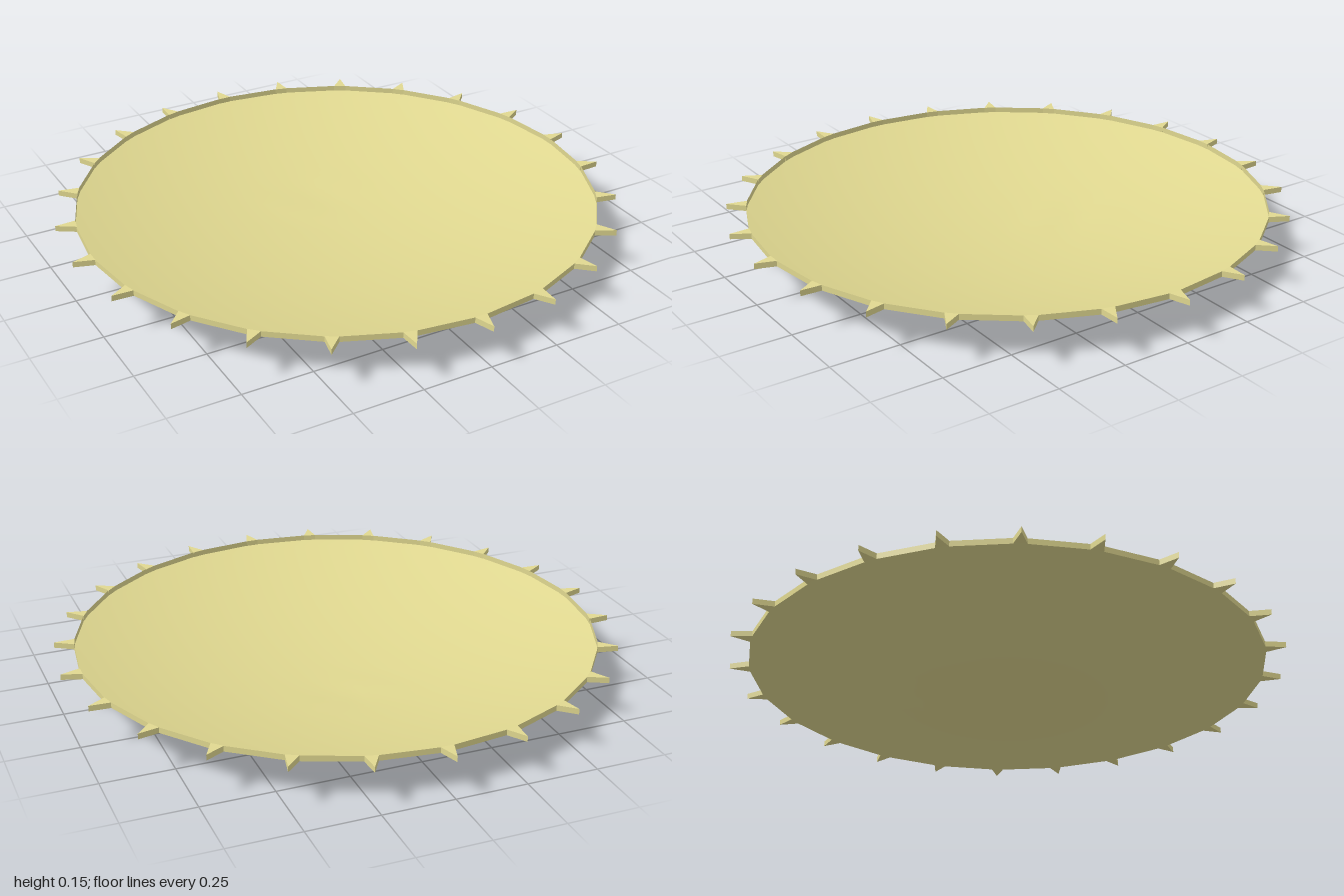
import * as THREE from 'three';
import { mergeVertices } from 'three/addons/utils/BufferGeometryUtils.js';

const SIDES = 24, RADIUS = 0.932, RIM_Y = 0.135, RIM_H = 0.02;

const material = (options = {}) => new THREE.MeshStandardMaterial({ color: 0xe0d890, ...options });

// Shallow parabolic bowl with faint dents behind its centre
function makeDish() {
  const profile = [];
  for (let i = 0; i <= 24; i++) {
    const t = i / 24;
    profile.push(new THREE.Vector2(t * RADIUS, 0.004 + (RIM_Y - 0.004) * t * t));
  }
  let geometry = new THREE.LatheGeometry(profile, SIDES);
  geometry.deleteAttribute('uv');
  geometry.deleteAttribute('normal');
  geometry = mergeVertices(geometry, 1e-5);
  const p = geometry.attributes.position;
  for (let i = 0; i < p.count; i++) {
    const x = p.getX(i), z = p.getZ(i);
    const fade = Math.exp(-((x / 0.17) ** 2) - ((z + 0.3) / 0.16) ** 2);
    p.setY(i, p.getY(i) + 0.003 * fade * Math.sin(22 * x - 14 * z));
  }
  geometry.computeVertexNormals();
  const dish = new THREE.Mesh(geometry, material({ side: THREE.DoubleSide }));
  dish.name = 'dish';
  return dish;
}

// Thin upright band around the dish
function makeRim() {
  const geometry = new THREE.CylinderGeometry(RADIUS, RADIUS, RIM_H, SIDES, 1, true);
  const rim = new THREE.Mesh(geometry, material({ side: THREE.DoubleSide, flatShading: true }));
  rim.position.y = RIM_Y + RIM_H / 2;
  rim.name = 'rim';
  return rim;
}

// Triangular teeth, one at every corner of the rim
function makeTeeth() {
  const shape = new THREE.Shape([
    new THREE.Vector2(RADIUS - 0.004, -0.023),
    new THREE.Vector2(1, 0),
    new THREE.Vector2(RADIUS - 0.004, 0.023),
  ]);
  const geometry = new THREE.ExtrudeGeometry(shape, { depth: RIM_H, bevelEnabled: false });
  geometry.rotateX(-Math.PI / 2);
  const teeth = new THREE.Group();
  teeth.name = 'teeth';
  for (let i = 0; i < SIDES; i++) {
    const tooth = new THREE.Mesh(geometry, material({ flatShading: true }));
    tooth.name = 'tooth';
    tooth.position.y = RIM_Y;
    tooth.rotation.y = (i / SIDES) * Math.PI * 2;
    teeth.add(tooth);
  }
  return teeth;
}

export function createModel() {
  const model = new THREE.Group();
  model.name = 'toothedDish';
  model.add(makeDish(), makeRim(), makeTeeth());
  return model;
}
